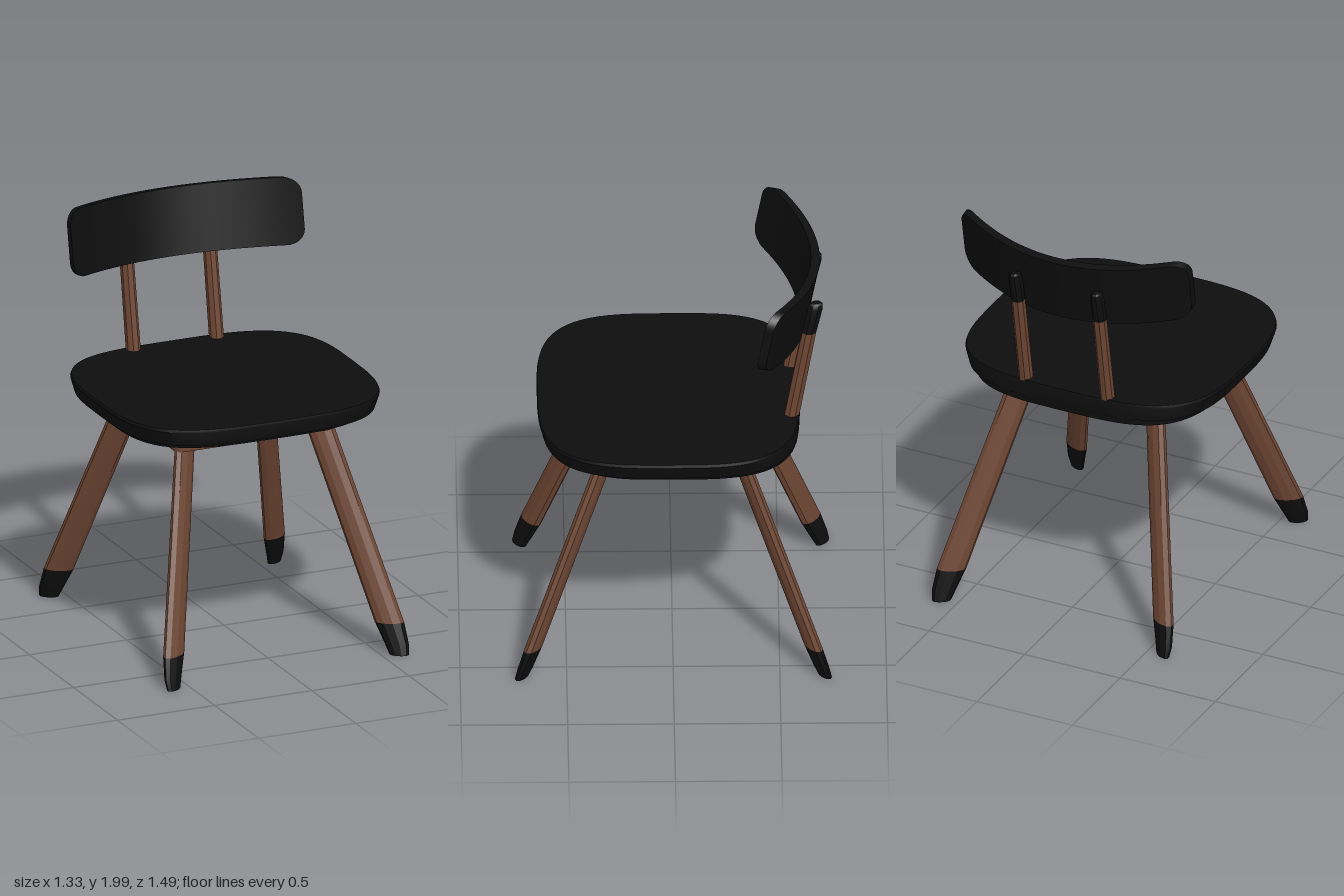
import * as THREE from 'three';
import { toCreasedNormals } from 'three/addons/utils/BufferGeometryUtils.js';

const V = (x, y, z) => new THREE.Vector3(x, y, z);

// Closed skin over a stack of rings, listed from bottom to top
function loft(rings, crease) {
  const pos = [];
  const tri = (...pts) => pts.forEach(p => pos.push(p.x, p.y, p.z));
  const n = rings[0].length;
  const middle = r => r.reduce((s, p) => s.add(p), V(0, 0, 0)).divideScalar(n);
  const first = rings[0], last = rings[rings.length - 1];
  const c0 = middle(first), c1 = middle(last);
  for (let j = 0; j < n; j++) {
    const k = (j + 1) % n;
    for (let i = 0; i < rings.length - 1; i++) {
      const a = rings[i], b = rings[i + 1];
      tri(a[j], b[j], a[k]);
      tri(a[k], b[j], b[k]);
    }
    tri(c0, first[j], first[k]);
    tri(c1, last[k], last[j]);
  }
  const g = new THREE.BufferGeometry();
  g.setAttribute('position', new THREE.Float32BufferAttribute(pos, 3));
  return toCreasedNormals(g, crease);
}

// Level ellipse; skew slants it towards a diagonal
function ring(x, y, z, a, b, skew = 0, n = 10) {
  return Array.from({ length: n }, (_, j) => {
    const t = ((j + 0.5) / n) * Math.PI * 2;
    return V(x + a * Math.cos(t), y,
      z + b * (skew * Math.cos(t) + Math.sqrt(1 - skew * skew) * Math.sin(t)));
  });
}

// Rounded square outline of the seat, with separate front and back reach
function seatRing(y, w, front, back) {
  const n = 72, e = 2 / 3.4;
  const pow = v => Math.sign(v) * Math.pow(Math.abs(v), e);
  return Array.from({ length: n }, (_, j) => {
    const t = (j / n) * Math.PI * 2, s = pow(Math.sin(t));
    return V(w * pow(Math.cos(t)), y, s * (s > 0 ? front : back));
  });
}

function roundedRect(target, w, h, r) {
  target.moveTo(w - r, -h);
  target.absarc(w - r, -h + r, r, -Math.PI / 2, 0);
  target.absarc(w - r, h - r, r, 0, Math.PI / 2);
  target.absarc(-w + r, h - r, r, Math.PI / 2, Math.PI);
  target.absarc(-w + r, -h + r, r, Math.PI, Math.PI * 1.5);
  return target;
}

// Rounded panel, bowed forward at both ends and leaning back
function backrestGeometry() {
  const W = 0.595, H = 0.162, R = 0.075;
  const g = new THREE.BoxGeometry(2, 2, 0.042, 48, 4, 1);
  const p = g.attributes.position;
  for (let i = 0; i < p.count; i++) {
    const x = W * Math.sin(p.getX(i) * Math.PI / 2);
    const d = Math.max(0, Math.abs(x) - (W - R));
    const half = H - R + Math.sqrt(Math.max(0, R * R - d * d));
    p.setXYZ(i, x, p.getY(i) * half, p.getZ(i) + 0.6 * x * x);
  }
  g.rotateX(-0.19);
  g.translate(0, 1.8, -0.642);
  g.computeVertexNormals();
  return g;
}

export function createModel() {
  const chair = new THREE.Group();
  chair.name = 'chair';
  const black = new THREE.MeshStandardMaterial({ color: 0x0e0e0e });
  black.name = 'black';
  const wood = new THREE.MeshStandardMaterial({ color: 0x6d4633 });
  wood.name = 'brown wood';
  const add = (name, geometry, material) => {
    const m = new THREE.Mesh(geometry, material);
    m.name = name;
    chair.add(m);
    return m;
  };

  // Seat with a stepped underside
  add('seat', loft([
    seatRing(1.108, 0.605, 0.555, 0.595),
    seatRing(1.138, 0.61, 0.56, 0.597),
    seatRing(1.14, 0.643, 0.618, 0.598),
    seatRing(1.21, 0.665, 0.635, 0.6),
    seatRing(1.224, 0.66, 0.632, 0.597),
  ], 0.6), black);

  // Frame below the seat with its recessed panel
  const outline = roundedRect(new THREE.Shape(), 0.412, 0.377, 0.04);
  outline.holes.push(roundedRect(new THREE.Path(), 0.365, 0.33, 0.02));
  const frame = new THREE.ExtrudeGeometry(outline, { depth: 0.07, bevelEnabled: false });
  frame.rotateX(-Math.PI / 2);
  frame.translate(0, 1.04, 0);
  add('seatFrame', frame, wood);
  const panel = new THREE.BoxGeometry(0.74, 0.03, 0.67);
  panel.translate(0, 1.09, 0);
  add('framePanel', panel, wood);

  // Splayed legs with dark feet
  for (const sx of [1, -1]) {
    for (const sz of [1, -1]) {
      const place = (sz > 0 ? 'front' : 'back') + (sx > 0 ? 'Left' : 'Right');
      const at = (x, y, z, a, b) => ring(sx * x, y, sz * z, a, b, 0.55 * sx * sz);
      add(place + 'Leg', loft([
        at(0.555, 0.15, 0.655, 0.063, 0.047),
        at(0.343, 1.07, 0.314, 0.06, 0.047),
      ], 0.3), wood);
      add(place + 'Foot', loft([
        at(0.58, 0, 0.711, 0.04, 0.033),
        at(0.576, 0.05, 0.693, 0.051, 0.04),
        at(0.555, 0.15, 0.655, 0.063, 0.047),
      ], 0.3), black);
    }
  }

  // Back posts with dark rounded tips
  for (const s of [1, -1]) {
    const side = s > 0 ? 'left' : 'right';
    const at = (y, z, a, b) => ring(s * 0.214, y, z, a, b, 0, 8);
    add(side + 'Post', loft([
      at(1.15, -0.547, 0.035, 0.038),
      at(1.68, -0.64, 0.033, 0.036),
    ], 0.3), wood);
    add(side + 'PostTip', loft([
      at(1.68, -0.64, 0.033, 0.036),
      at(1.81, -0.668, 0.032, 0.038),
      at(1.832, -0.673, 0.026, 0.033),
      at(1.842, -0.676, 0.016, 0.02),
    ], 0.5), black);
  }

  add('backrest', backrestGeometry(), black);
  return chair;
}
